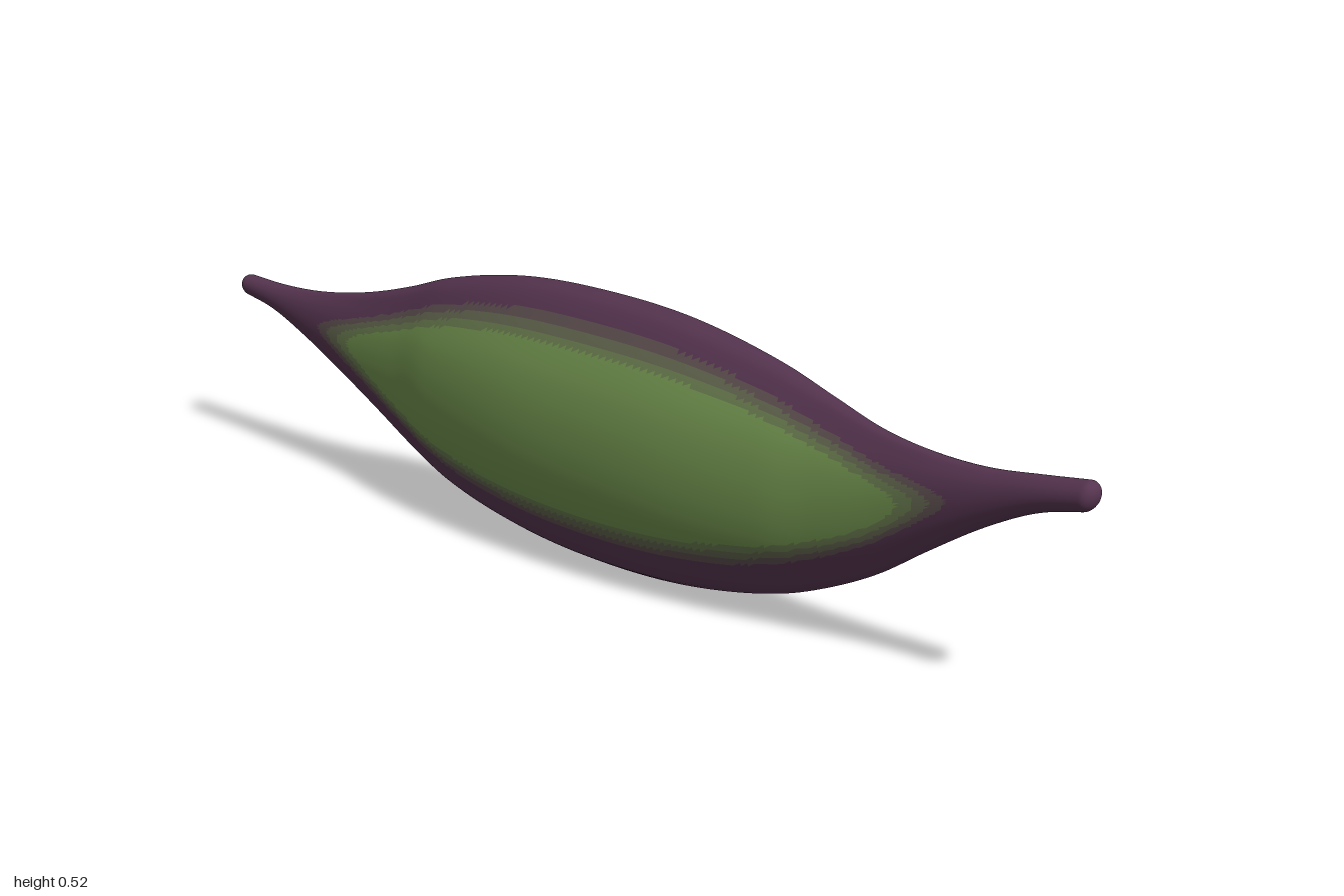
import * as THREE from 'three';

// Stations along the pod: x, top edge, bottom edge, half thickness
const STATIONS = [
  [-1, .364, .325, .02], [-.9, .361, .305, .023], [-.8, .366, .262, .028], [-.7, .38, .21, .034],
  [-.6, .402, .155, .042], [-.5, .432, .1, .058], [-.4, .467, .057, .083], [-.2, .509, .013, .112],
  [0, .52, 0, .12], [.2, .51, .013, .112], [.4, .47, .057, .083], [.5, .437, .097, .06],
  [.6, .405, .15, .044], [.7, .39, .22, .036], [.8, .388, .286, .031], [.9, .4, .338, .028], [1, .415, .366, .026],
];
// Height of the pointed lens section at every 15 degrees
const LENS = [1, .92, .755, .59, .42, .22, 0, -.22, -.42, -.59, -.755, -.92, -1];
const NX = 200, NA = 60;

const spline = (xs, values, size) => {
  const s = new THREE.CubicInterpolant(xs, values, size, new Float32Array(size));
  return (x) => s.evaluate(x);
};
const profile = spline(STATIONS.map((s) => s[0]), STATIONS.flatMap((s) => s.slice(1)), 3);
const lens = spline(LENS.map((_, i) => i), LENS, 1);

// Colour band of a point: 0 is the green middle, 4 the purple rim
function bandAt(x, v) {
  for (let k = 0; k < 4; k++) {
    const t = k / 3;
    const reach = THREE.MathUtils.lerp(.655, .745, t);
    const width = THREE.MathUtils.lerp(.58, .755, t);
    const q = 1 - (x / reach) ** 4;
    if (q > 0 && Math.abs(v - .06) < width * Math.sqrt(q)) return k;
  }
  return 4;
}

// One side of the pod, lofted from keel to keel so the keels stay sharp
function podSide(side) {
  const positions = [], heights = [], bands = [[], [], [], [], []];
  for (let i = 0; i <= NX; i++) {
    const x = Math.sin((i / NX - .5) * Math.PI);
    const [top, bottom, thick] = profile(x);
    // rounded tips
    const d = Math.max(0, (Math.abs(x) - .98) / .02);
    const dome = Math.sqrt(Math.max(0, 1 - d * d));
    const round = THREE.MathUtils.smoothstep(Math.abs(x), .5, .95);
    for (let j = 0; j <= NA; j++) {
      const a = j / NA * Math.PI;
      const h = THREE.MathUtils.lerp(lens(j / NA * 12)[0], Math.cos(a), round);
      const z = j === 0 || j === NA ? 0 : Math.sin(a) * thick * dome;
      positions.push(x, (top + bottom) / 2 + (top - bottom) / 2 * h * dome, side * z);
      heights.push([x, h]);
    }
  }
  const addFace = (a, b, c) => {
    const mean = (n) => (heights[a][n] + heights[b][n] + heights[c][n]) / 3;
    bands[bandAt(mean(0), mean(1))].push(...(side > 0 ? [a, b, c] : [a, c, b]));
  };
  for (let i = 0; i < NX; i++) {
    for (let j = 0; j < NA; j++) {
      const a = i * (NA + 1) + j, b = a + NA + 1;
      addFace(a, a + 1, b);
      addFace(b, a + 1, b + 1);
    }
  }
  const geometry = new THREE.BufferGeometry();
  geometry.setAttribute('position', new THREE.Float32BufferAttribute(positions, 3));
  geometry.setIndex(bands.flat());
  let start = 0;
  bands.forEach((band, k) => {
    geometry.addGroup(start, band.length, k);
    start += band.length;
  });
  geometry.computeVertexNormals();
  return geometry;
}

export function createModel() {
  const colours = [
    ['leafGreen', 0x6c8c4b], ['mossGreen', 0x64754b], ['olive', 0x5f624c],
    ['duskyBrown', 0x5a4c4d], ['plumPurple', 0x55344f],
  ];
  const materials = colours.map(([name, color]) => {
    const material = new THREE.MeshStandardMaterial({ color });
    material.name = name;
    return material;
  });
  const pod = new THREE.Group();
  pod.name = 'pod';
  for (const [name, side] of [['frontHalf', 1], ['backHalf', -1]]) {
    const mesh = new THREE.Mesh(podSide(side), materials);
    mesh.name = name;
    pod.add(mesh);
  }
  return pod;
}
